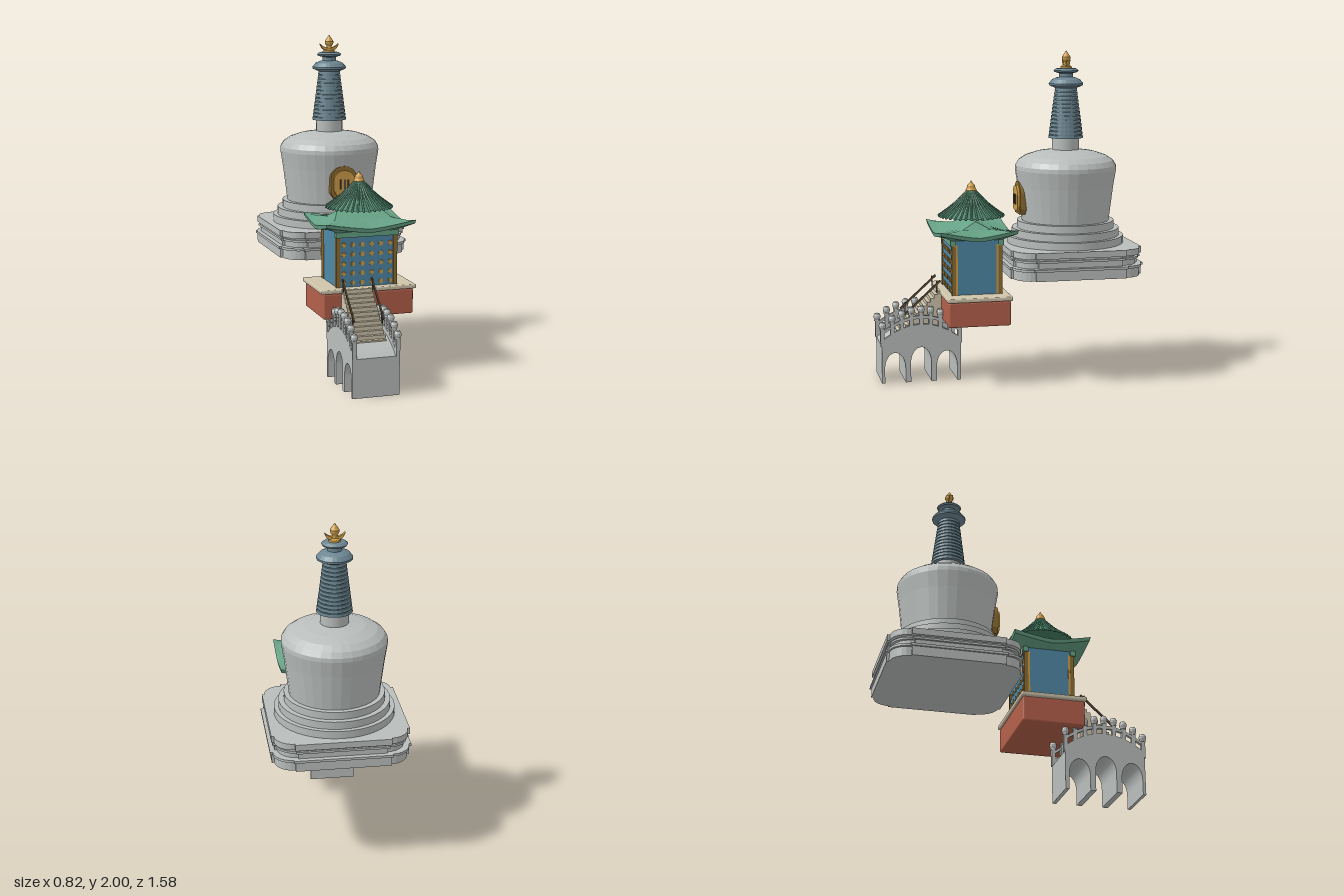
import * as THREE from 'three';
import { RoundedBoxGeometry } from 'three/addons/geometries/RoundedBoxGeometry.js';

const mat = (name, color) => Object.assign(new THREE.MeshStandardMaterial({ color }), { name });
const stone = mat('pale stone', 0xb9bebc);
const slate = mat('slate blue', 0x6c8793);
const gold = mat('gold', 0xcd9d48);
const ochre = mat('dark ochre', 0x8f6d30);
const blue = mat('wall blue', 0x4f88a6);
const red = mat('brick red', 0xb4604a);
const cream = mat('cream', 0xcfc4ab);
const green = mat('roof green', 0x66a286);
const darkGreen = mat('tile green', 0x477f66);
const brown = mat('dark brown', 0x5e4c38);

function add(parent, name, geo, material, x = 0, y = 0, z = 0) {
  const m = new THREE.Mesh(geo, material);
  m.name = name;
  m.position.set(x, y, z);
  parent.add(m);
  return m;
}

// Gives every face its own normal
function faceted(geo) {
  const g = geo.index ? geo.toNonIndexed() : geo;
  g.computeVertexNormals();
  return g;
}

const box = (w, h, d) => new THREE.BoxGeometry(w, h, d);
const lathe = (pts, sides) => faceted(new THREE.LatheGeometry(pts.map(p => new THREE.Vector2(...p)), sides));
const extrude = (shape, depth, curveSegments = 10) =>
  new THREE.ExtrudeGeometry(shape, { depth, bevelEnabled: false, curveSegments });

function group(parent, name, z = 0) {
  const g = new THREE.Group();
  g.name = name;
  g.position.z = z;
  parent.add(g);
  return g;
}

// Square with rounded corners, each set in by a small step
function slabShape(half) {
  const c = half - 0.125, s = new THREE.Shape();
  for (let i = 0; i < 4; i++) {
    const a = i * Math.PI / 2, cos = Math.cos(a), sin = Math.sin(a);
    const put = (x, y) => [x * cos - y * sin, x * sin + y * cos];
    if (i === 0) s.moveTo(...put(half, -c)); else s.lineTo(...put(half, -c));
    s.lineTo(...put(half, c));
    for (let k = 0; k <= 6; k++) {
      const t = k * Math.PI / 12;
      s.lineTo(...put(c + 0.11 * Math.cos(t), c + 0.11 * Math.sin(t)));
    }
    s.lineTo(...put(c, half));
  }
  return s;
}

function buildStupa(root) {
  const g = group(root, 'stupa', -0.378);
  // Square plinth layers: bottom, top, half width
  [[0.658, 0.715, 0.402], [0.715, 0.73, 0.412], [0.73, 0.765, 0.383], [0.765, 0.778, 0.396],
    [0.778, 0.79, 0.383], [0.79, 0.828, 0.403]].forEach(([y0, y1, half]) =>
    add(g, 'plinthLayer', extrude(slabShape(half), y1 - y0).rotateX(-Math.PI / 2), stone, 0, y0));
  // Round steps
  [0.357, 0.33, 0.298].forEach((r, i) =>
    add(g, 'roundStep', new THREE.CylinderGeometry(r, r, 0.046, 40), stone, 0, 0.851 + i * 0.046));
  add(g, 'domeBody', lathe([[0.268, 0.96], [0.28, 1.06], [0.295, 1.18], [0.311, 1.28], [0.309, 1.305],
    [0.29, 1.335], [0.25, 1.362], [0.18, 1.385], [0.09, 1.399], [0, 1.4]], 32), stone);
  add(g, 'neck', new THREE.CylinderGeometry(0.083, 0.083, 0.08, 24), stone, 0, 1.435);
  // Ringed spire
  const rings = 13, step = 0.31 / rings, spire = [[0, 1.47]];
  for (let i = 0; i < rings; i++) {
    const r = 0.106 - 0.037 * i / (rings - 1), y = 1.47 + i * step;
    spire.push([r, y], [r - 0.002, y + step * 0.74], [r - 0.01, y + step * 0.76], [r - 0.01, y + step]);
  }
  spire.push([0, 1.78]);
  add(g, 'ringedSpire', lathe(spire, 24), slate);
  add(g, 'parasol', lathe([[0, 1.775], [0.07, 1.775], [0.104, 1.79], [0.105, 1.802], [0.085, 1.825], [0.06, 1.836],
    [0.042, 1.84], [0.042, 1.862], [0.07, 1.87], [0.076, 1.88], [0.06, 1.892], [0, 1.897]], 24), slate);
  // Crescent and jewel
  const moon = new THREE.Shape();
  moon.moveTo(-0.06, 1.945);
  moon.quadraticCurveTo(-0.05, 1.9, 0, 1.9);
  moon.quadraticCurveTo(0.05, 1.9, 0.06, 1.945);
  moon.quadraticCurveTo(0.035, 1.92, 0, 1.92);
  moon.quadraticCurveTo(-0.035, 1.92, -0.06, 1.945);
  add(g, 'crescent', extrude(moon, 0.022), gold, 0, 0, -0.011);
  add(g, 'jewel', lathe([[0, 1.893], [0.036, 1.893], [0.034, 1.903], [0.016, 1.912], [0.016, 1.93], [0.026, 1.945],
    [0.027, 1.96], [0.014, 1.98], [0, 2]], 16), gold);
  // Arched shrine niche on the body
  const arch = (w, y0, y1) => {
    const s = new THREE.Shape();
    s.moveTo(-w * 0.72, y0);
    s.lineTo(w * 0.72, y0);
    s.lineTo(w, y0 + 0.035);
    s.lineTo(w, y1 - w * 0.9);
    s.absellipse(0, y1 - w * 0.9, w, w * 0.9, 0, Math.PI, false);
    s.lineTo(-w, y0 + 0.035);
    return s;
  };
  add(g, 'nicheFrame', extrude(arch(0.085, 1.01, 1.21), 0.055), ochre, 0, 0, 0.247);
  add(g, 'nichePanel', extrude(arch(0.068, 1.03, 1.185), 0.016), gold, 0, 0, 0.3);
  for (const i of [-1, 0, 1]) add(g, 'nicheBar', box(0.011, 0.06, 0.006), brown, i * 0.024, 1.1, 0.317);
}

// Hipped roof skin from rectangular loops whose corners lift
function hippedRoof(rings, n = 8) {
  const corners = [[1, 1], [1, -1], [-1, -1], [-1, 1]], count = n * 4, pos = [], idx = [];
  for (const [hx, hz, y, lift] of rings)
    for (let j = 0; j < count; j++) {
      const a = corners[Math.floor(j / n)], b = corners[(Math.floor(j / n) + 1) % 4], t = (j % n) / n;
      pos.push(hx * (a[0] + (b[0] - a[0]) * t), y + lift * Math.abs(2 * t - 1) ** 1.3, hz * (a[1] + (b[1] - a[1]) * t));
    }
  for (let i = 0; i < rings.length - 1; i++)
    for (let j = 0; j < count; j++) {
      const a = i * count + j, b = i * count + (j + 1) % count;
      idx.push(a, b, b + count, a, b + count, a + count);
    }
  const geo = new THREE.BufferGeometry();
  geo.setAttribute('position', new THREE.Float32BufferAttribute(pos, 3));
  geo.setIndex(idx);
  return faceted(geo);
}

function buildPavilion(root) {
  const g = group(root, 'pavilion', 0.212);
  add(g, 'redBase', new RoundedBoxGeometry(0.56, 0.152, 0.376, 2, 0.01), red, 0, 0.451);
  add(g, 'terrace', new RoundedBoxGeometry(0.59, 0.026, 0.396, 2, 0.008), cream, 0, 0.54);
  add(g, 'walls', box(0.368, 0.33, 0.296), blue, 0, 0.717);
  for (const z of [-1, 1]) {
    for (const x of [-1, 1]) {
      add(g, 'cornerPost', box(0.024, 0.305, 0.024), ochre, x * 0.177, 0.705, z * 0.142);
      add(g, 'postTrim', box(0.006, 0.305, 0.012), gold, x * 0.185, 0.705, z * 0.124);
    }
    add(g, 'beam', box(0.392, 0.032, 0.032), green, 0, 0.868, z * 0.146);
    // Lattice studs on front and back
    for (let c = 0; c < 6; c++)
      for (let r = 0; r < 5; r++) {
        const x = (c - 2.5) * 0.058, y = 0.806 - r * 0.057, zz = z * 0.15;
        add(g, 'latticeStud', box(0.017, 0.026, 0.008), gold, x, y, zz);
        add(g, 'latticeStud', box(0.026, 0.013, 0.006), gold, x, y, zz);
      }
  }
  add(g, 'lowerRoof', hippedRoof([[0.002, 0.002, 0.884, 0], [0.19, 0.155, 0.884, 0], [0.272, 0.23, 0.886, 0.042],
    [0.277, 0.235, 0.91, 0.04], [0.25, 0.19, 0.918, 0.022], [0.18, 0.088, 0.944, 0], [0.137, 0.001, 0.988, 0]]), green);
  // Round upper roof with radial tile ribs
  const profile = [[0.196, 1.008], [0.15, 1.042], [0.1, 1.082], [0.055, 1.128], [0.028, 1.155]];
  add(g, 'upperRoof', lathe([[0, 1.002], ...profile, [0, 1.16]], 36), darkGreen);
  const ribPath = new THREE.CatmullRomCurve3(profile.map(([r, y]) => new THREE.Vector3(r, y + 0.002, 0)));
  const rib = new THREE.TubeGeometry(ribPath, 8, 0.006, 6);
  const cap = new THREE.SphereGeometry(0.008, 8, 6);
  for (let i = 0; i < 36; i++) {
    const a = i * Math.PI / 18;
    add(g, 'tileRib', rib, darkGreen).rotation.y = a;
    add(g, 'tileCap', cap, darkGreen, 0.196 * Math.cos(a), 1.009, -0.196 * Math.sin(a));
  }
  add(g, 'roofFinial', lathe([[0, 1.145], [0.03, 1.147], [0.034, 1.163], [0.027, 1.175], [0.024, 1.19],
    [0.012, 1.203], [0, 1.222]], 16), gold);
}

const Z0 = 0.29, Z1 = 0.775, XL = -0.227, XR = 0.058;
const deckY = z => 0.23 + 0.095 * (1 - ((z - 0.5325) / 0.2425) ** 2);

// Extrudes a (z, y) outline across x, between x0 and x0 + width
const across = (shape, x0, width) => extrude(shape, width).rotateY(-Math.PI / 2).translate(x0 + width, 0, 0);

function curvedBand(low, high) {
  const s = new THREE.Shape(), n = 16, at = k => Z0 + (Z1 - Z0) * k / n;
  s.moveTo(Z0, deckY(Z0) + low);
  for (let k = 1; k <= n; k++) s.lineTo(at(k), deckY(at(k)) + low);
  for (let k = n; k >= 0; k--) s.lineTo(at(k), deckY(at(k)) + high);
  return s;
}

function buildBridge(root) {
  const g = group(root, 'bridge');
  // Three-arched body
  const s = new THREE.Shape();
  s.moveTo(Z0, 0);
  for (const [c, top] of [[0.376, 0.187], [0.535, 0.215], [0.694, 0.187]]) {
    s.lineTo(c - 0.063, 0);
    s.lineTo(c - 0.063, top - 0.095);
    s.absellipse(c, top - 0.095, 0.063, 0.095, Math.PI, 0, true);
    s.lineTo(c + 0.063, 0);
  }
  s.lineTo(Z1, 0);
  for (let k = 16; k >= 0; k--) s.lineTo(Z0 + (Z1 - Z0) * k / 16, deckY(Z0 + (Z1 - Z0) * k / 16));
  add(g, 'archedBody', across(s, XL, XR - XL), stone);
  const ball = lathe([[0, -0.024], [0.014, -0.024], [0.021, -0.01], [0.022, 0.003], [0.015, 0.018], [0, 0.023]], 12);
  for (const x of [XL, XR - 0.024]) {
    add(g, 'curb', across(curvedBand(-0.01, 0.032), x, 0.024), stone);
    add(g, 'handrail', across(curvedBand(0.066, 0.085), x + 0.003, 0.018), stone);
    for (let i = 0; i < 9; i++) {
      const z = 0.296 + i * 0.0592, y = deckY(z);
      add(g, 'railPost', box(0.024, 0.11, 0.024), stone, x + 0.012, y + 0.05, z);
      add(g, 'postCollar', new THREE.CylinderGeometry(0.018, 0.018, 0.008, 12), stone, x + 0.012, y + 0.1, z);
      add(g, 'postBall', ball, stone, x + 0.012, y + 0.124, z);
    }
  }
}

function buildStairs(root) {
  const g = group(root, 'stairs');
  // Stepped solid rising to the terrace
  const n = 12, run = 0.27 / n, rise = 0.27 / n, s = new THREE.Shape();
  s.moveTo(0.4, 0.28);
  s.lineTo(0.67, 0.28);
  for (let i = 0; i < n; i++) {
    s.lineTo(0.67 - i * run, 0.28 + (i + 1) * rise);
    s.lineTo(0.67 - (i + 1) * run, 0.28 + (i + 1) * rise);
  }
  add(g, 'steps', across(s, -0.17, 0.185), cream);
  for (const x of [-0.168, 0.013]) {
    const bar = add(g, 'stairRail', box(0.009, 0.012, 0.3), brown, x, 0.512, 0.518);
    bar.rotation.x = Math.atan2(0.2, 0.22);
    for (const z of [0.43, 0.6])
      add(g, 'railStake', box(0.007, 0.07, 0.007), brown, x, 0.985 - z * 0.95, z);
  }
}

export function createModel() {
  const root = new THREE.Group();
  root.name = 'hilltopTemple';
  buildStupa(root);
  buildPavilion(root);
  buildBridge(root);
  buildStairs(root);
  return root;
}
